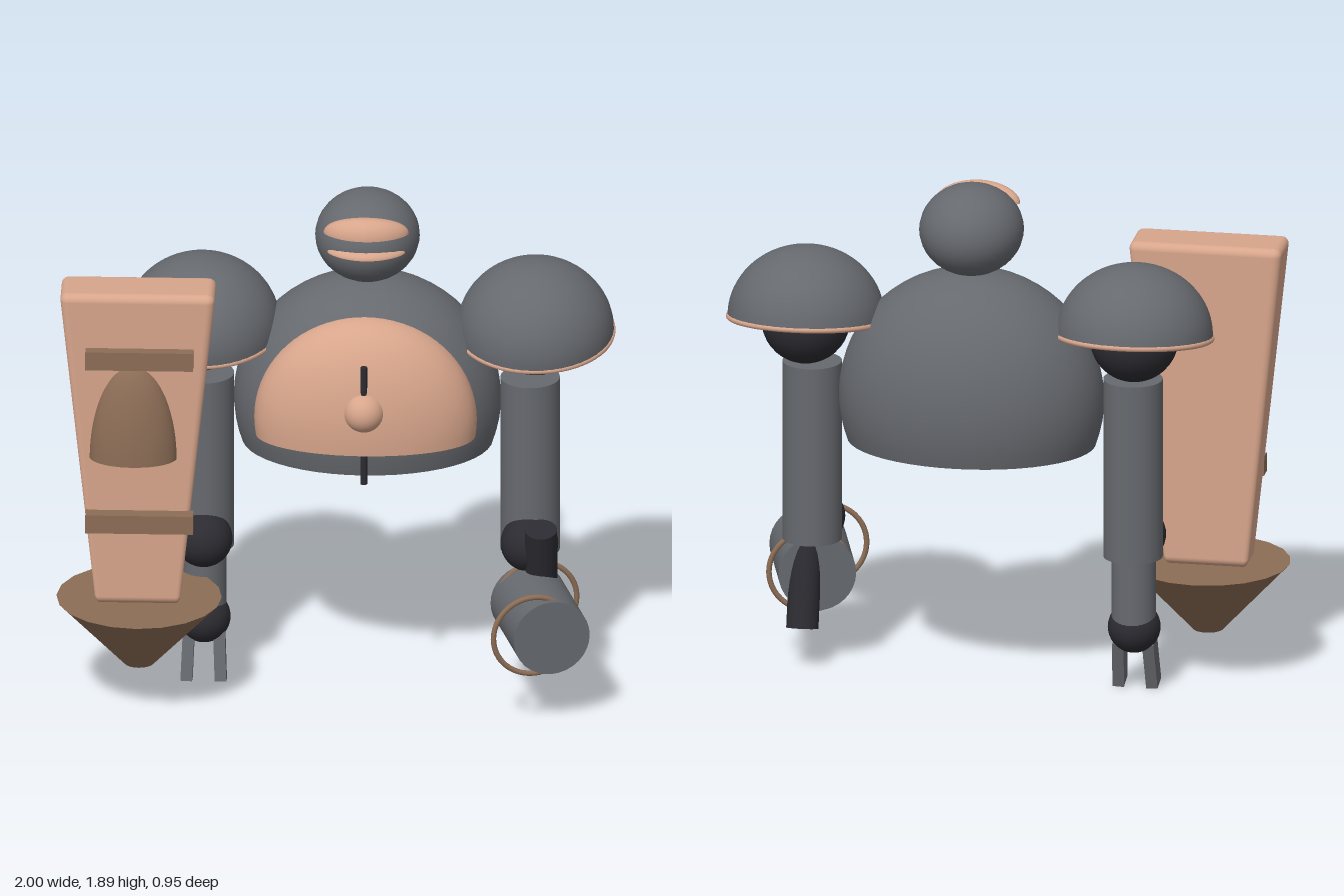
import * as THREE from 'three';
import { RoundedBoxGeometry } from 'three/addons/geometries/RoundedBoxGeometry.js';

const mat = (name, color) => {
  const m = new THREE.MeshStandardMaterial({ color });
  m.name = name;
  return m;
};

export function createModel() {
  const model = new THREE.Group();
  model.name = 'robot';
  const grey = mat('steelGrey', 0x66696e);
  const dark = mat('darkJoint', 0x2b2b31);
  const peach = mat('copperLight', 0xd7a58b);
  const brown = mat('bronze', 0x8c6d56);

  const add = (name, geo, material, pos, rot = [0, 0, 0], parent = model) => {
    const mesh = new THREE.Mesh(geo, material);
    mesh.name = name;
    mesh.position.set(...pos);
    mesh.rotation.set(...rot);
    parent.add(mesh);
    return mesh;
  };
  const ball = (r) => new THREE.SphereGeometry(r, 32, 20);
  const rod = (r, h) => new THREE.CylinderGeometry(r, r, h, 32);

  // Ellipsoid closed by a flat base at the height "cut" (in unit radius)
  const dome = (rx, ry, rz, cut = 0) => {
    const points = [new THREE.Vector2(0, cut)];
    const start = Math.asin(cut);
    points.push(new THREE.Vector2(Math.cos(start), cut));
    for (let i = 0; i <= 20; i++) {
      const a = start + (Math.PI / 2 - start) * (i / 20);
      points.push(new THREE.Vector2(i === 20 ? 0 : Math.cos(a), Math.sin(a)));
    }
    return new THREE.LatheGeometry(points, 48).scale(rx, ry, rz);
  };

  // Torso and chest
  add('torso', dome(0.48, 0.48, 0.36, -0.348), grey, [0.11, 1.092, -0.12]);
  add('chestPlate', dome(0.4, 0.395, 0.2, -0.165), peach, [0.11, 1.092, 0.082]);
  add('chestButton', ball(0.074), peach, [0.11, 1.187, 0.248]);
  add('chestRod', rod(0.0125, 0.455), dark, [0.11, 1.137, 0.255]);

  // Head with two curved visor ridges
  add('head', ball(1).scale(0.188, 0.166, 0.2), grey, [0.11, 1.723, -0.12]);
  const ridge = (rx, ry, rz, bend) => {
    const geo = dome(rx, ry, rz);
    const p = geo.attributes.position;
    for (let i = 0; i < p.count; i++) {
      p.setZ(i, p.getZ(i) - bend * (p.getX(i) / rx) ** 2);
    }
    geo.computeVertexNormals();
    return geo;
  };
  add('upperVisorRidge', ridge(0.153, 0.068, 0.056, 0.03), peach, [0.11, 1.786, 0.042]);
  add('lowerVisorRidge', ridge(0.14, 0.03, 0.05, 0.035), peach, [0.11, 1.711, 0.048]);

  // Shoulders, upper arms and elbows
  for (const [side, padX, armX] of [['left', 0.713, 0.695], ['right', -0.485, -0.475]]) {
    const shoulder = new THREE.Group();
    shoulder.name = side + 'Shoulder';
    shoulder.position.set(padX, 1.36, -0.125);
    shoulder.rotation.x = 0.155;
    model.add(shoulder);
    add(side + 'ShoulderPad', dome(0.282, 0.26, 0.285), grey, [0, 0, 0], [0, 0, 0], shoulder);
    add(side + 'ShoulderRim', new THREE.TorusGeometry(0.277, 0.011, 10, 64), peach,
      [0, -0.006, 0], [Math.PI / 2, 0, 0], shoulder);
    add(side + 'ShoulderJoint', ball(0.16), dark, [padX, 1.35, -0.13]);
    add(side + 'UpperArm', rod(0.107, 0.67), grey, [armX, 0.85, -0.098]);
    add(side + 'Elbow', ball(0.104), dark, [armX, 0.57, -0.015]);
  }

  // Right forearm with two-pronged claw
  add('rightForearm', rod(0.08, 0.3), grey, [-0.475, 0.4, -0.085]);
  add('rightWrist', ball(0.095), dark, [-0.475, 0.24, -0.075]);
  for (const s of [-1, 1]) {
    add('clawProng', new THREE.BoxGeometry(0.042, 0.18, 0.075), grey,
      [-0.475 + s * 0.058, 0.1, -0.045], [-0.25, 0, s * 0.04]);
  }

  // Left hand: grip and barrel with two loose rings
  add('leftGrip', rod(0.058, 0.53), dark, [0.74, 0.41, 0.018], [0.26, 0, 0]);
  const yaw = 0.27;
  add('barrel', rod(0.14, 0.36).rotateX(Math.PI / 2), grey, [0.74, 0.35, 0.162], [0, yaw, 0]);
  for (const z of [0.005, 0.322]) {
    add('barrelRing', new THREE.TorusGeometry(0.148, 0.01, 10, 48), brown,
      [0.722, 0.355, z], [0, yaw, 0]);
  }

  // Tapered arm shield
  const shieldGeo = new RoundedBoxGeometry(0.56, 1.215, 0.2, 4, 0.03);
  const p = shieldGeo.attributes.position;
  for (let i = 0; i < p.count; i++) {
    const t = 0.5 - p.getY(i) / 1.215;
    p.setX(i, p.getX(i) * (1 - 0.46 * t));
    p.setZ(i, p.getZ(i) * (1 - 0.23 * t));
  }
  add('shield', shieldGeo, peach, [-0.703, 1.03, 0.176]);
  for (const y of [1.398, 0.76]) {
    add('shieldBand', new THREE.BoxGeometry(0.387, 0.07, 0.06), brown, [-0.695, y, 0.283]);
  }
  add('shieldBoss', dome(0.158, 0.37, 0.1), brown, [-0.718, 1.0, 0.25]);
  add('shieldSpike', new THREE.CylinderGeometry(0.297, 0.055, 0.257, 20), brown, [-0.7, 0.294, 0.175]);

  return model;
}
